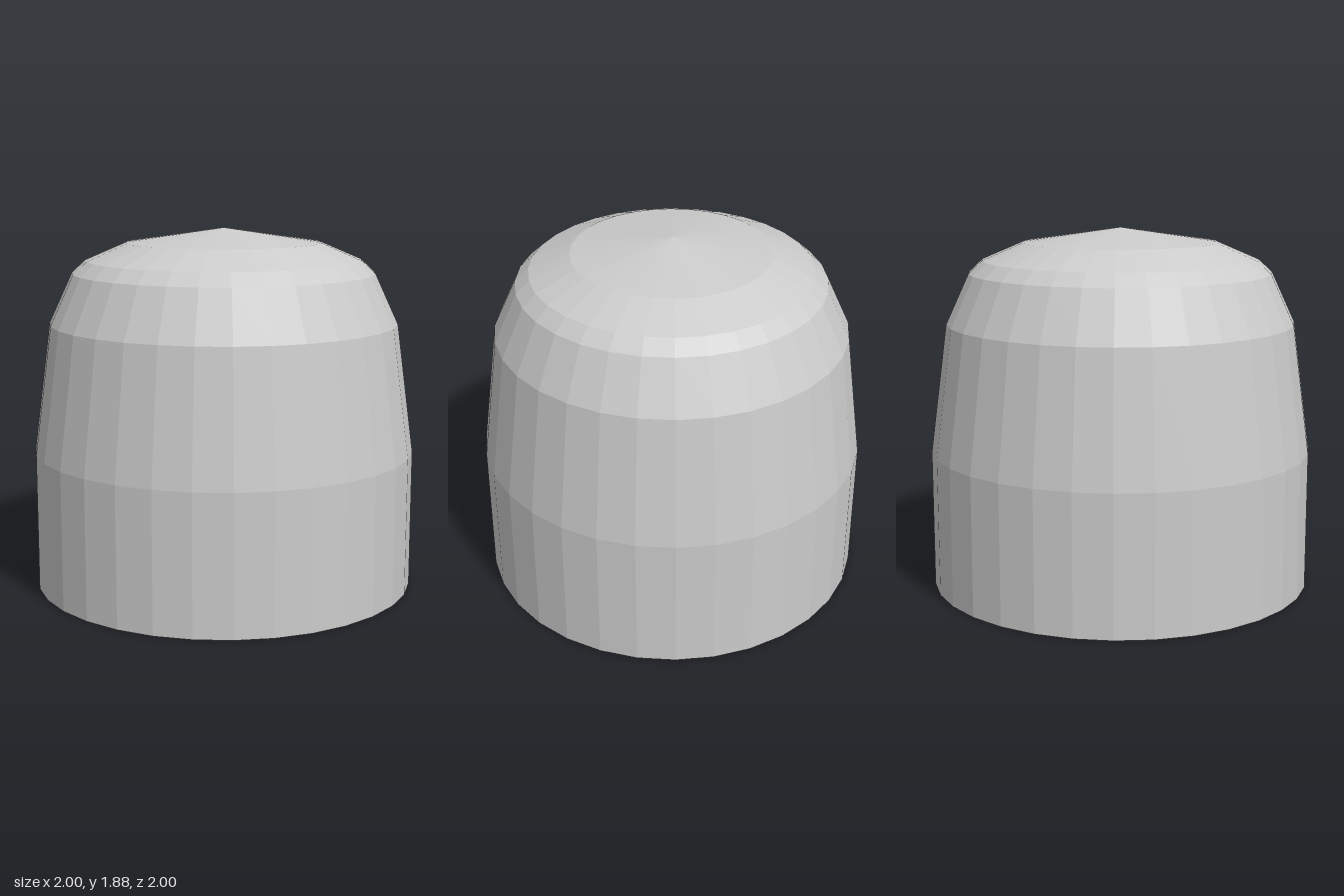
import * as THREE from 'three';

export function createModel() {
  const group = new THREE.Group();
  const material = new THREE.MeshStandardMaterial({ color: 0xcccccc, flatShading: true });

  // Outline from the centre of the base, up the wall, to the tip of the shallow cone
  const profile = [
    [0, 0], [1, 0], [1, 0.72], [0.91, 1.39], [0.79, 1.65], [0.72, 1.715], [0.51, 1.805], [0, 1.88],
  ].map(([r, y]) => new THREE.Vector2(r, y));

  // Closed 32-sided domed body
  const body = new THREE.Mesh(new THREE.LatheGeometry(profile, 32), material);
  body.name = 'domedBody';
  group.add(body);

  return group;
}
